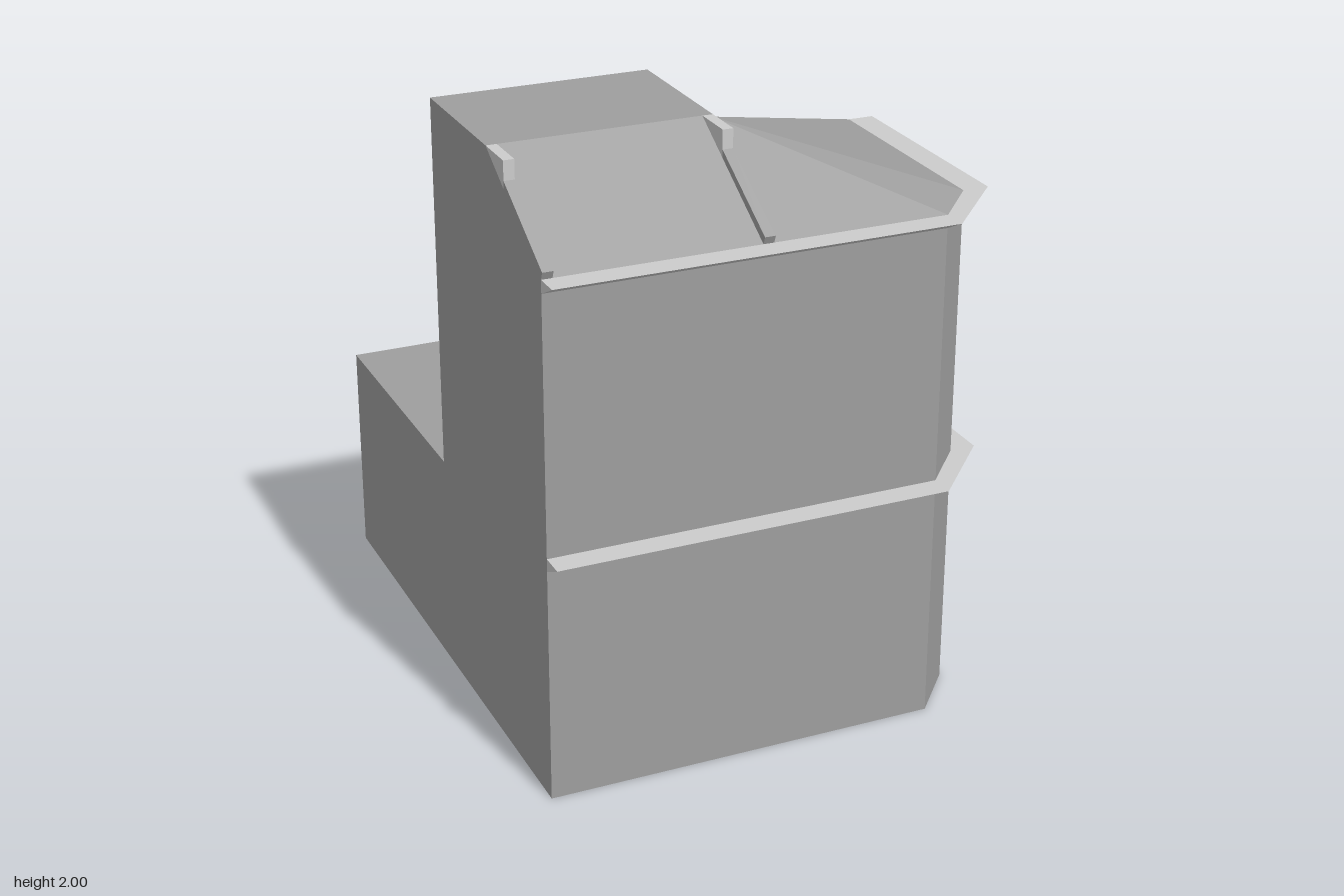
import * as THREE from 'three';

const LEFT = -0.78, RIGHT = 0.692, BACK = -0.03, FRONT = 0.91, SPLIT = -0.045;
const EAVES = 1.735, RIDGE_Z = 0.473, RIDGE_Y = 2;
const makeMaterial = (color) => new THREE.MeshStandardMaterial({ color, flatShading: true, side: THREE.DoubleSide });
const body = makeMaterial(0x9e9e9e);
const trim = makeMaterial(0xcccccc);

function addMesh(group, name, geometry, material) {
  const mesh = new THREE.Mesh(geometry, material);
  mesh.name = name;
  group.add(mesh);
}

const shapeOf = (points) => new THREE.Shape(points.map(([a, b]) => new THREE.Vector2(a, b)));

// Plan outline of [x, z] points raised from the ground to a height
function raisePlan(points, height) {
  return new THREE.ExtrudeGeometry(shapeOf(points.map(([x, z]) => [x, -z])), { depth: height, bevelEnabled: false })
    .rotateX(-Math.PI / 2);
}

// Side profile of [z, y] points stretched from x0 to x1
function stretchProfile(points, x0, x1) {
  return new THREE.ExtrudeGeometry(shapeOf(points), { depth: x1 - x0, bevelEnabled: false })
    .rotateY(-Math.PI / 2).translate(x1, 0, 0);
}

function fromTriangles(triangles) {
  const geometry = new THREE.BufferGeometry();
  geometry.setAttribute('position', new THREE.Float32BufferAttribute(triangles.flat(2), 3));
  geometry.computeVertexNormals();
  return geometry;
}

// Street-side edge of the walls and the matching outer edge of a cornice
const wallLine = [[LEFT, FRONT], [0.54, FRONT], [RIGHT, 0.738], [RIGHT, BACK]];
const lipLine = [[LEFT, 0.995], [0.54, 0.995], [0.779, 0.738], [0.779, BACK]];

// Wedge-shaped cornice: flat on top, sloping back to the wall underneath
function cornice(bottom, top) {
  const sections = wallLine.map(([x, z], i) => [
    [x, bottom, z], [lipLine[i][0], top, lipLine[i][1]], [x, top, z],
  ]);
  const triangles = [sections[0], [...sections[3]].reverse()];
  for (let i = 0; i < 3; i++) {
    const [a, b, c] = sections[i], [d, e, f] = sections[i + 1];
    triangles.push([a, d, e], [a, e, b], [b, e, f], [b, f, c]);
  }
  return fromTriangles(triangles);
}

// Hipped roof over the cut corner, its planes fanning out from one peak
function hipRoof() {
  const peak = [SPLIT, RIDGE_Y - 0.008, RIDGE_Z];
  const rim = [[SPLIT, FRONT], ...wallLine.slice(1), [SPLIT, BACK]].map(([x, z]) => [x, EAVES, z]);
  return fromTriangles(rim.map((p, i) => [p, rim[(i + 1) % rim.length], peak]));
}

export function createModel() {
  const model = new THREE.Group();
  model.name = 'cornerBuilding';

  // Tower with a cut corner, and the low block behind it
  addMesh(model, 'towerWalls', raisePlan([...wallLine, [LEFT, BACK]], EAVES), body);
  const rearBlock = new THREE.BoxGeometry(RIGHT - LEFT, 0.745, 0.965)
    .translate((LEFT + RIGHT) / 2, 0.3725, BACK - 0.4825);
  addMesh(model, 'rearBlock', rearBlock, body);

  // Cornices
  addMesh(model, 'middleCornice', cornice(0.797, 0.84), trim);
  addMesh(model, 'roofCornice', cornice(1.692, EAVES), trim);

  // Roofs
  const roofProfile = [[BACK, EAVES], [FRONT, EAVES], [RIDGE_Z, RIDGE_Y], [BACK, RIDGE_Y]];
  addMesh(model, 'flatAndSlopedRoof', stretchProfile(roofProfile, LEFT, SPLIT), body);
  addMesh(model, 'hipRoof', hipRoof(), body);

  // Party walls at both ends of the sloped roof: a pale pier with a raking coping below
  const pier = [[RIDGE_Z, 2], [RIDGE_Z, 1.97], [0.62, 1.9], [0.62, 2]];
  const coping = [[0.62, 1.9], [0.91, EAVES], [0.92, 1.76], [0.62, 1.937]];
  for (const [side, x] of [['right', LEFT], ['left', SPLIT - 0.035]]) {
    addMesh(model, side + 'Pier', stretchProfile(pier, x, x + 0.035), trim);
    addMesh(model, side + 'Coping', stretchProfile(coping, x, x + 0.035), body);
  }
  return model;
}
